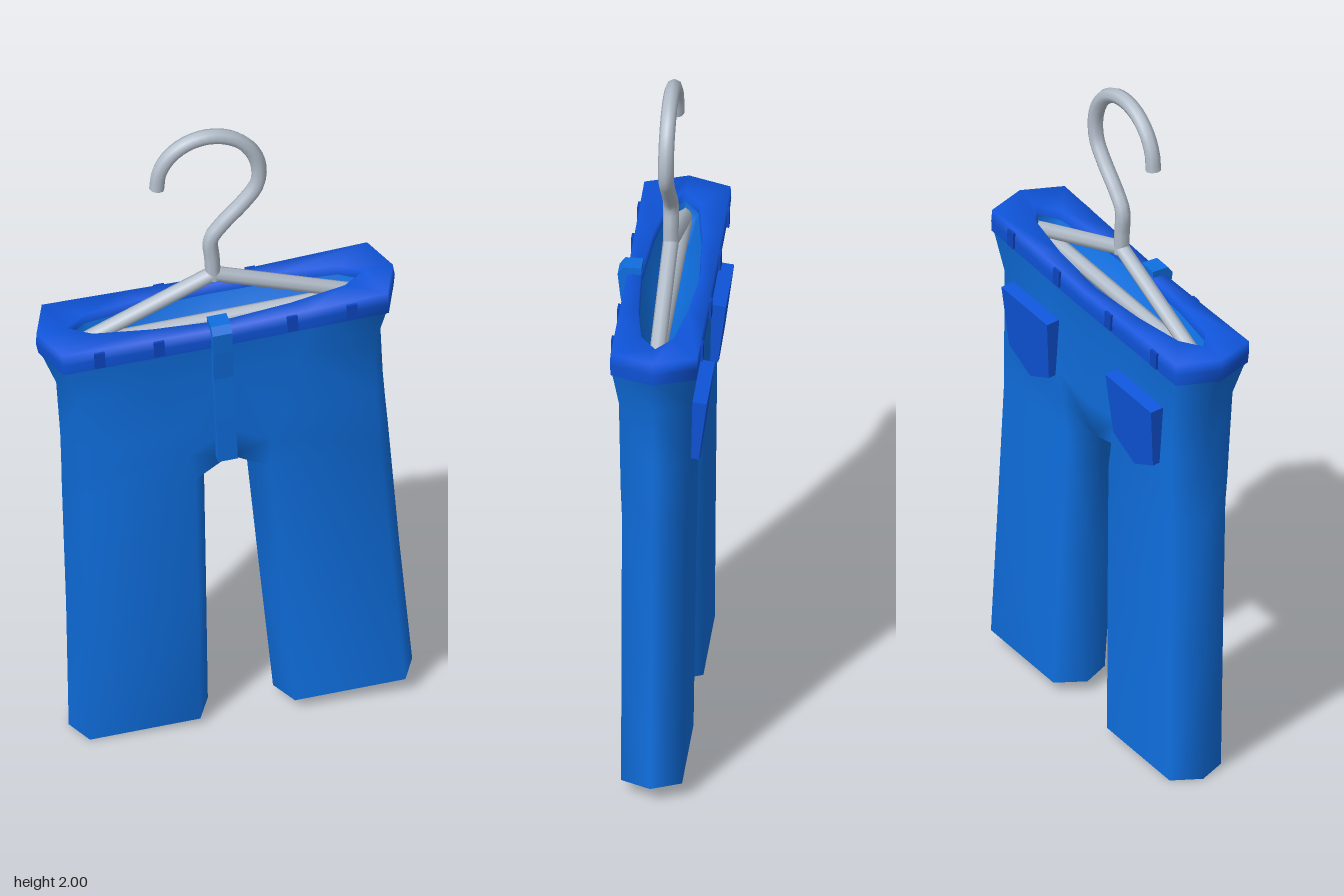
import * as THREE from 'three';
import { mergeGeometries, mergeVertices } from 'three/addons/utils/BufferGeometryUtils.js';

const mat = (name, color, side = THREE.FrontSide) => {
  const m = new THREE.MeshStandardMaterial({ color, side });
  m.name = name;
  return m;
};

// Skin a list of equal-length rings; closes(row) tells whether the last column joins the first
function loft(rings, closes, flip) {
  const n = rings[0].length, index = [];
  for (let i = 0; i < rings.length - 1; i++) {
    for (let j = 0; j < (closes(i) ? n : n - 1); j++) {
      const a = i * n + j, b = i * n + (j + 1) % n, c = a + n, d = b + n;
      index.push(...(flip ? [a, c, b, b, c, d] : [a, b, c, b, d, c]));
    }
  }
  const g = new THREE.BufferGeometry();
  g.setAttribute('position', new THREE.Float32BufferAttribute(rings.flat(2), 3));
  g.setIndex(index);
  return g;
}

function smooth(g) {
  const merged = mergeVertices(g, 1e-4);
  merged.computeVertexNormals();
  return merged;
}

// Half of the trousers: one leg that opens into half of the hips
function trouserHalf(side) {
  // y, tip x, corner x, inner x, middle x, depth, middle depth, middle y
  const rows = [
    [0, 0.49, 0.45, 0.135, 0.093, 0.085, 0, 0],
    [0.42, 0.475, 0.435, 0.118, 0.076, 0.087, 0, 0.42],
    [0.84, 0.465, 0.42, 0.105, 0.06, 0.09, 0, 0.84],
    [0.93, 0.462, 0.42, 0.12, 0, 0.094, 0.07, 0.885],
    [1.02, 0.46, 0.42, 0.15, 0, 0.096, 0.096, 1.0],
    [1.2, 0.462, 0.422, 0.2, 0, 0.1, 0.1, 1.2],
    [1.33, 0.506, 0.462, 0.24, 0, 0.118, 0.118, 1.315],
  ];
  const rings = rows.map(([y, tip, cor, inn, mid, d, dm, my]) => [
    [mid, my, dm], [inn, y, d], [cor, y, d], [tip, y, 0],
    [cor, y, -d], [inn, y, -d], [mid, my, -dm],
  ].map(([x, py, z]) => [x * side, py, z]));
  return loft(rings, (row) => row === 2, side < 0);
}

// Twelve-point ring around the waist; sag lowers its middle
function waistRing(y, tip, xs, zs, sag) {
  const front = [[xs[0], zs[0]], [xs[1], zs[1]], [0, zs[2]], [-xs[1], zs[1]], [-xs[0], zs[0]]];
  const back = front.map(([x, z]) => [-x, -z]);
  return [[tip, 0], ...front, [-tip, 0], ...back]
    .map(([x, z]) => [x, y - sag * (1 - Math.abs(x) / tip), z]);
}

export function createModel() {
  const cloth = mat('denimBlue', 0x0f6fe0, THREE.DoubleSide);
  const trim = mat('trimBlue', 0x0f55dc, THREE.DoubleSide);
  const loopBlue = mat('loopBlue', 0x0c44c0);
  const metal = mat('hangerGrey', 0xb4bfcc);

  const model = new THREE.Group();
  model.name = 'trousersOnHanger';
  const tilted = new THREE.Group();
  tilted.name = 'tiltedAssembly';
  tilted.position.set(0.035, 0.025, 0.005);
  tilted.rotation.set(0, -0.165, 0.053);
  model.add(tilted);
  const add = (name, geometry, material) => {
    const mesh = new THREE.Mesh(geometry, material);
    mesh.name = name;
    tilted.add(mesh);
    return mesh;
  };

  // Legs and hips
  add('trousers', smooth(mergeGeometries([trouserHalf(1), trouserHalf(-1)])), cloth);

  // Thick waistband with a lens-shaped opening
  const outer = [0.464, 0.24], inner = [0.36, 0.2];
  const lens = waistRing(1.383, 0.425, inner, [0.045, 0.07, 0.083], 0.012);
  const lensLow = waistRing(1.355, 0.42, inner, [0.042, 0.066, 0.079], 0.012);
  add('waistband', smooth(loft([
    waistRing(1.315, 0.507, outer, [0.119, 0.119, 0.119], 0.005),
    waistRing(1.35, 0.512, outer, [0.122, 0.122, 0.122], 0.012),
    waistRing(1.385, 0.508, outer, [0.12, 0.12, 0.12], 0.015),
    lens, lensLow,
  ], () => true, true)), trim);

  // Inside cloth, narrowing to a fold
  add('lining', smooth(loft([
    lensLow,
    waistRing(1.26, 0.4, [0.34, 0.19], [0.02, 0.03, 0.035], 0),
    waistRing(1.24, 0.38, [0.3, 0.16], [0, 0, 0], 0),
  ], () => true, true)), cloth);

  // Fly strip, folded over the waistband and running down to the crotch
  const outline = [[0.08, 1.375], [0.08, 1.392], [0.13, 1.392], [0.146, 1.37], [0.138, 1.3],
    [0.122, 1.2], [0.116, 1.05], [0.108, 0.9], [0.08, 0.9], [0.08, 1.2], [0.11, 1.34]];
  const flyShape = new THREE.Shape(outline.map(([z, y]) => new THREE.Vector2(-z, y)));
  const fly = new THREE.ExtrudeGeometry(flyShape, { depth: 0.056, bevelEnabled: false });
  fly.rotateY(Math.PI / 2).translate(-0.042, 0, 0);
  add('flyStrip', fly, cloth);

  // Belt loops around the waistband
  for (const [z, xs] of [[0.122, [0.19, 0.36]], [-0.122, [0.13, 0.36]]]) {
    for (const x of xs) for (const side of [1, -1]) {
      const loop = add('beltLoop', new THREE.BoxGeometry(0.03, 0.05, 0.012), loopBlue);
      loop.position.set(side * x, 1.347, z);
    }
  }

  // Five-sided back pockets, standing off at the top
  const pocketShape = new THREE.Shape([[-0.115, 0], [-0.1, -0.19], [0, -0.24], [0.1, -0.19], [0.115, 0]]
    .map(([x, y]) => new THREE.Vector2(x, y)));
  for (const side of [1, -1]) {
    const pocket = add('backPocket',
      new THREE.ExtrudeGeometry(pocketShape, { depth: 0.045, bevelEnabled: false }), trim);
    pocket.position.set(side * 0.262, 1.185, -0.14);
    pocket.rotation.x = -0.12;
  }

  // Wire hanger: hook with stem, then arms and bottom bar
  const v = (x, y) => new THREE.Vector3(x, y, 0);
  const hookPoints = [v(0, 1.46), v(0, 1.53), v(0, 1.595), v(0.035, 1.642), v(0.095, 1.7)];
  for (let i = 0; i <= 10; i++) {
    const a = THREE.MathUtils.degToRad(-22 + i * 20.2);
    hookPoints.push(v(0.003 + 0.146 * Math.cos(a), 1.808 + 0.146 * Math.sin(a)));
  }
  const hookPath = new THREE.CatmullRomCurve3(hookPoints);
  add('hangerHook', new THREE.TubeGeometry(hookPath, 40, 0.022, 8), metal);
  const tip = add('hookTip', new THREE.CircleGeometry(0.022, 8), metal);
  tip.position.copy(hookPoints.at(-1));
  tip.lookAt(hookPoints.at(-1).clone().add(hookPath.getTangent(1)));

  const rod = (name, from, to) => {
    const dir = to.clone().sub(from);
    const mesh = add(name, new THREE.CylinderGeometry(0.022, 0.022, dir.length(), 8), metal);
    mesh.position.copy(from).add(to).multiplyScalar(0.5);
    mesh.quaternion.setFromUnitVectors(new THREE.Vector3(0, 1, 0), dir.normalize());
  };
  for (const side of [1, -1]) rod('hangerArm', v(0, 1.475), v(side * 0.41, 1.315));
  rod('hangerBar', v(-0.41, 1.315), v(0.41, 1.315));

  return model;
}
